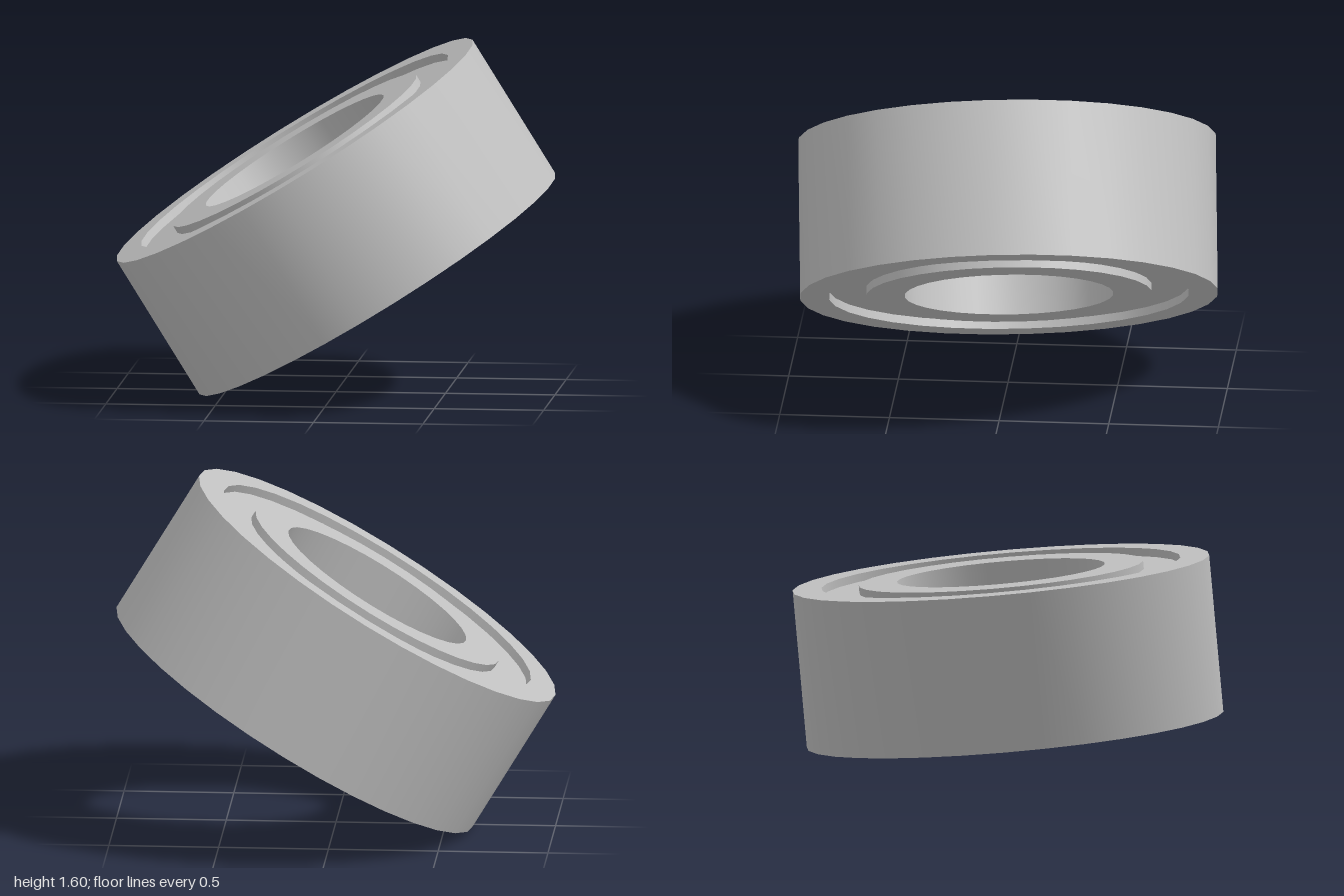
import * as THREE from 'three';
import { toCreasedNormals } from 'three/addons/utils/BufferGeometryUtils.js';

const WIDTH = 0.718;   // full width along the axle
const RECESS = 0.037;  // depth of the seal below the ring faces
const SEGMENTS = 32;

// Solid ring with a rectangular section, around the y axis
function ring(name, inner, outer, width, material) {
  const h = width / 2;
  const profile = [[inner, -h], [outer, -h], [outer, h], [inner, h], [inner, -h]]
    .map(([r, y]) => new THREE.Vector2(r, y));
  const geometry = toCreasedNormals(new THREE.LatheGeometry(profile, SEGMENTS), 0.6);
  const mesh = new THREE.Mesh(geometry, material);
  mesh.name = name;
  return mesh;
}

export function createModel() {
  const steel = new THREE.MeshStandardMaterial({ color: 0xc0c0c0 });
  steel.name = 'steel grey';

  const bearing = new THREE.Group();
  bearing.name = 'bearing';
  bearing.add(
    ring('outerRace', 0.82, 0.952, WIDTH, steel),
    ring('seal', 0.65, 0.82, WIDTH - 2 * RECESS, steel),
    ring('innerRace', 0.475, 0.65, WIDTH, steel),
  );

  // Lean the axle to the side and slightly forward
  const axle = new THREE.Vector3(-0.52, 0.852, 0.055).normalize();
  bearing.quaternion.setFromUnitVectors(new THREE.Vector3(0, 1, 0), axle);
  bearing.position.y = 0.803;

  const model = new THREE.Group();
  model.name = 'tiltedBearing';
  model.add(bearing);
  return model;
}
